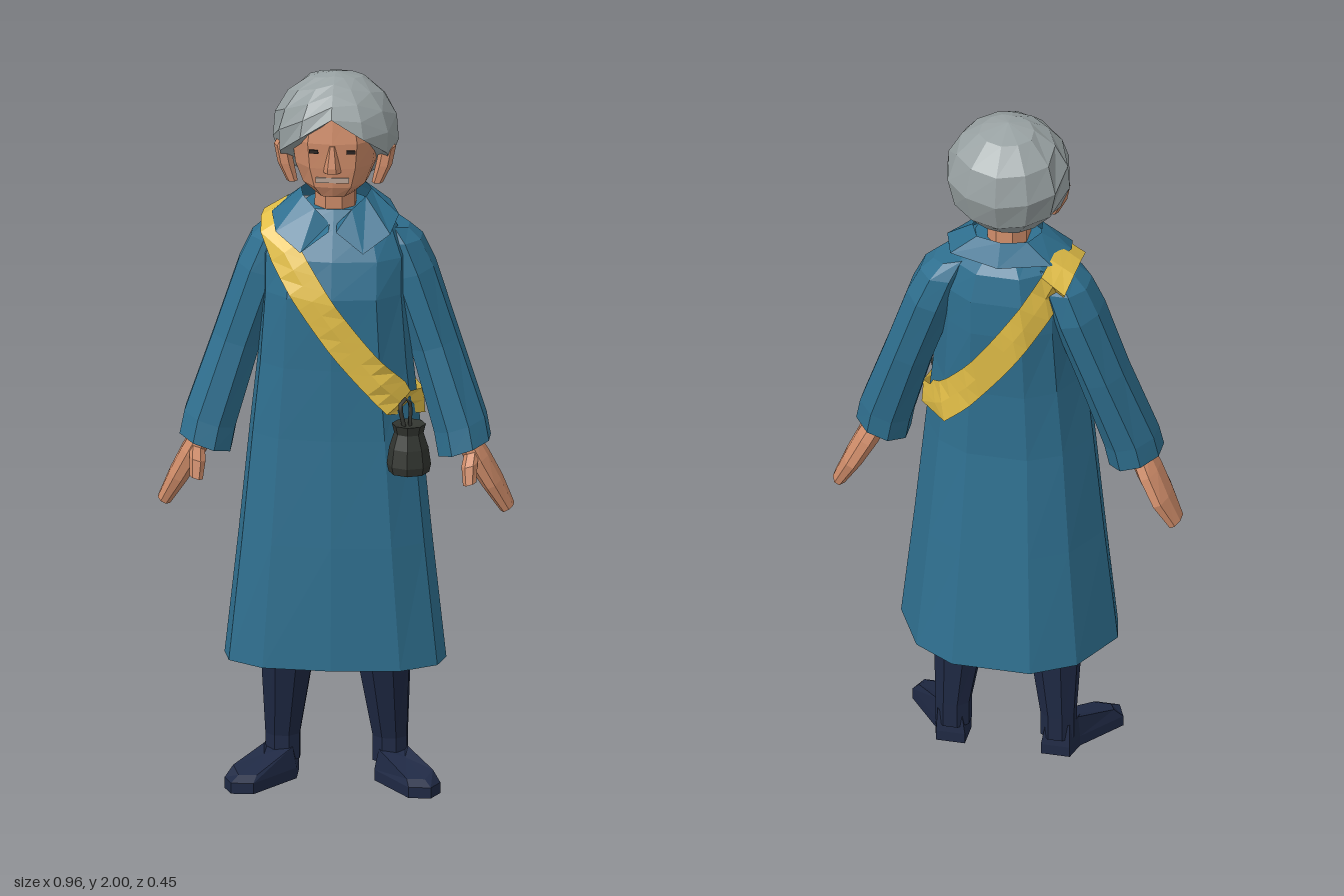
import * as THREE from 'three';

const mat = (name, color, side = THREE.FrontSide) => {
  const m = new THREE.MeshStandardMaterial({ color, side });
  m.name = name;
  return m;
};

// Faceted geometry from a list of triangles
function facets(tris) {
  const g = new THREE.BufferGeometry();
  g.setAttribute('position', new THREE.Float32BufferAttribute(tris.flat(2), 3));
  g.computeVertexNormals();
  return g;
}

// Skin over rings listed bottom to top, each running front -> +x -> back; s = -1 mirrors in x
function loft(rings, s = 1) {
  const R = rings.map(r => {
    const q = r.map(([x, y, z]) => [x * s, y, z]);
    return s < 0 ? q.reverse() : q;
  });
  const n = R[0].length, tris = [];
  for (let i = 0; i < R.length - 1; i++)
    for (let j = 0; j < n; j++) {
      const k = (j + 1) % n;
      tris.push([R[i][j], R[i][k], R[i + 1][k]], [R[i][j], R[i + 1][k], R[i + 1][j]]);
    }
  const centre = r => [0, 1, 2].map(c => r.reduce((t, p) => t + p[c], 0) / n);
  const lo = R[0], hi = R[R.length - 1], cl = centre(lo), ch = centre(hi);
  for (let j = 0; j < n; j++) {
    const k = (j + 1) % n;
    tris.push([cl, lo[k], lo[j]], [ch, hi[j], hi[k]]);
  }
  return facets(tris);
}

// Elliptical ring, tilted so its +x side rises
const oval = (cx, cy, cz, rx, rz, tilt = 0, n = 8) => Array.from({ length: n }, (_, i) => {
  const a = (i + 0.5) / n * Math.PI * 2, dx = rx * Math.sin(a);
  return [cx + dx, cy + tilt * dx, cz + rz * Math.cos(a)];
});

// Symmetric ring from a half outline of unit points
const shaped = (half, y, rx, zf, zb) => {
  const mirror = half.slice(1, -1).reverse().map(([u, v]) => [-u, v]);
  return [...half, ...mirror].map(([u, v]) => [u * rx, y, v > 0 ? v * zf : -v * zb]);
};

// Piecewise linear lookup in rows sorted by their first value
function lookup(rows, t) {
  let i = 0;
  while (i < rows.length - 2 && t > rows[i + 1][0]) i++;
  const a = rows[i], b = rows[i + 1];
  const f = THREE.MathUtils.clamp((t - a[0]) / (b[0] - a[0]), 0, 1);
  return a.map((v, c) => v + (b[c] - v) * f);
}

// Coat profile: height, half width, front z, back z
const coatRows = [
  [0.355, 0.30, 0.16, -0.225], [0.7, 0.262, 0.156, -0.188], [1.0, 0.232, 0.147, -0.155],
  [1.2, 0.21, 0.147, -0.153], [1.4, 0.195, 0.15, -0.165], [1.5, 0.195, 0.125, -0.162],
  [1.58, 0.165, 0.085, -0.145], [1.63, 0.095, 0.06, -0.105]];
const coatFront = [[0, 1], [0.62, 0.9], [0.94, 0.5], [1, 0]];
const coatBack = [[0, -1], [0.36, -1], [0.74, -0.69], [1, 0]];
const coatHalf = [...coatFront, ...coatBack.slice(0, -1).reverse()];

// Point lying just outside the coat
function onCoat(x, y, front) {
  const [, rx, zf, zb] = lookup(coatRows, y);
  const cx = THREE.MathUtils.clamp(x, -0.93 * rx, 0.93 * rx);
  const v = lookup(front ? coatFront : coatBack, Math.abs(cx) / rx)[1];
  return [cx * 1.04, y, front ? v * zf + 0.013 : -v * zb - 0.013];
}

// Faces between two lines of points
function band(a, b, closed) {
  const tris = [], n = a.length;
  for (let i = 0; i < (closed ? n : n - 1); i++) {
    const k = (i + 1) % n;
    tris.push([b[i], b[k], a[k]], [b[i], a[k], a[i]]);
  }
  return tris;
}

export function createModel() {
  const coat = mat('coat blue', 0x2f7090), coatOpen = mat('collar blue', 0x2f7090, THREE.DoubleSide);
  const skin = mat('skin', 0xd08d6a), hairGrey = mat('hair grey', 0x98a1a2);
  const navy = mat('trouser navy', 0x1f2944), yellow = mat('sash yellow', 0xe3bf48, THREE.DoubleSide);
  const dark = mat('pouch charcoal', 0x323530), eyeDark = mat('eye dark', 0x2a2422);
  const lip = mat('mouth pale', 0xb9a496);

  const model = new THREE.Group();
  model.name = 'figure';
  const add = (name, geometry, material, x = 0, y = 0, z = 0) => {
    const m = new THREE.Mesh(geometry, material);
    m.name = name;
    m.position.set(x, y, z);
    model.add(m);
    return m;
  };

  // Coat with a slightly recessed underside
  add('coat', loft([shaped(coatHalf, 0.372, 0.28, 0.147, -0.208),
    ...coatRows.map(([y, ...r]) => shaped(coatHalf, y, ...r))]), coat);

  // Folded collar, split at the front with two pointed flaps
  const rim = [[0.01, 1.595, 0.075], [0.05, 1.635, 0.07], [0.085, 1.66, 0.03],
    [0.095, 1.665, -0.03], [0.07, 1.668, -0.09], [0, 1.67, -0.11]];
  const edge = [[0.01, 1.582, 0.112], [0.085, 1.528, 0.132], [0.155, 1.572, 0.085],
    [0.172, 1.603, 0], [0.14, 1.612, -0.105], [0, 1.608, -0.145]];
  const around = half => [...half, ...half.slice(0, -1).reverse().map(([x, y, z]) => [-x, y, z])];
  add('collar', facets(band(around(rim), around(edge), false)), coatOpen);

  // Sash from the right shoulder to the left hip, front and back, as upper, middle and lower lines
  const run = front => Array.from({ length: 13 }, (_, i) => {
    const t = i / 12, x = -0.125 + 0.305 * t;
    const y = 1.52 - 0.415 * t - 0.025 * Math.sin(Math.PI * t);
    return [1, 0, -1].map(w => onCoat(x + 0.035 * w, y + 0.027 * w, front));
  });
  const across = (a, b) => [a, a.map((v, c) => (v + b[c]) / 2), b];
  const loop = [...run(true), across([0.238, 1.115, 0], [0.243, 1.045, 0]), ...run(false).reverse(),
    across([-0.12, 1.595, -0.14], [-0.185, 1.545, -0.142]),
    across([-0.135, 1.622, -0.09], [-0.2, 1.582, -0.09]),
    across([-0.14, 1.624, -0.02], [-0.203, 1.583, -0.02]),
    across([-0.135, 1.602, 0.05], [-0.198, 1.56, 0.055])];
  const line = i => loop.map(p => p[i]);
  add('sash', facets([...band(line(0), line(1), true), ...band(line(1), line(2), true)]), yellow);

  // Pouch hanging from the sash
  const profile = [[0, 0.93], [0.055, 0.93], [0.06, 0.952], [0.053, 1.0], [0.04, 1.04], [0.046, 1.065], [0, 1.055]];
  const bag = new THREE.LatheGeometry(profile.map(p => new THREE.Vector2(...p)), 8).toNonIndexed();
  bag.computeVertexNormals();
  add('pouch', bag, dark, 0.212, 0, 0.168);
  const cord = new THREE.CatmullRomCurve3([[0.20, 1.05, 0.17], [0.19, 1.12, 0.165], [0.21, 1.13, 0.15], [0.215, 1.05, 0.16]]
    .map(p => new THREE.Vector3(...p)));
  add('pouchCord', new THREE.TubeGeometry(cord, 8, 0.006, 4), dark);

  // Paired limbs
  const sole = [[0.21, 0.152], [0.27, 0.152], [0.292, 0.10], [0.2, -0.02], [0.185, -0.08], [0.105, -0.08], [0.105, 0.0]];
  for (const [side, s] of [['left', 1], ['right', -1]]) {
    add(side + 'Sleeve', loft([
      oval(0.34, 0.985, 0.01, 0.05, 0.065, 0.35),
      oval(0.35, 0.957, 0.008, 0.074, 0.085, 0.35), oval(0.338, 1.02, 0, 0.074, 0.083, 0.33),
      oval(0.268, 1.24, -0.03, 0.068, 0.09, 0.3), oval(0.2, 1.44, -0.043, 0.07, 0.102, 0.25),
      oval(0.165, 1.53, -0.043, 0.07, 0.092, 0), oval(0.135, 1.58, -0.04, 0.066, 0.068, -0.3)], s), coat);
    add(side + 'Hand', loft([
      oval(0.464, 0.778, -0.018, 0.018, 0.044, 0.5), oval(0.425, 0.85, -0.014, 0.026, 0.066, 0.5),
      oval(0.387, 0.92, 0, 0.03, 0.062, 0.5), oval(0.355, 0.98, 0.01, 0.03, 0.045, 0.4)], s), skin);
    add(side + 'Thumb', loft([
      oval(0.37, 0.872, 0.088, 0.018, 0.016, 0.3, 6), oval(0.368, 0.92, 0.066, 0.022, 0.028, 0.3, 6),
      oval(0.372, 0.955, 0.02, 0.02, 0.03, 0.3, 6)], s), skin);
    add(side + 'Leg', loft([
      oval(0.145, 0.05, -0.04, 0.05, 0.047), oval(0.145, 0.12, -0.04, 0.05, 0.047),
      oval(0.13, 0.35, -0.015, 0.076, 0.077), oval(0.13, 0.45, -0.01, 0.078, 0.08)], s), navy);
    add(side + 'Shoe', loft([
      sole.map(([x, z]) => [x, 0, z]), sole.map(([x, z]) => [x, 0.03, z]),
      sole.map(([x, z]) => [0.17 + (x - 0.17) * 0.82, 0.095 - Math.max(0, z + 0.03) * 0.27, z * 0.85 - 0.003])], s), navy);

    // Ears and eyes
    add(side + 'Ear', loft([
      oval(0.115, 1.70, 0.025, 0.015, 0.015, 0, 6), oval(0.133, 1.75, 0.02, 0.022, 0.026, 0, 6),
      oval(0.143, 1.80, 0.015, 0.022, 0.03, 0, 6), oval(0.13, 1.835, 0.015, 0.015, 0.02, 0, 6)], s), skin);
    add(side + 'Eye', new THREE.BoxGeometry(0.024, 0.01, 0.008), eyeDark, s * 0.05, 1.808, 0.107).rotation.y = s * 0.15;
  }

  // Neck, head and nose
  add('neck', loft([oval(0, 1.55, -0.01, 0.06, 0.065), oval(0, 1.72, 0, 0.058, 0.065)]), skin);
  const headHalf = [[0, 1], [0.55, 0.93], [0.93, 0.45], [1, -0.1], [0.7, -0.8], [0, -1]];
  add('head', loft([[1.675, 0.055, 0.09, -0.05], [1.705, 0.09, 0.104, -0.08], [1.76, 0.112, 0.11, -0.1],
    [1.83, 0.122, 0.113, -0.11], [1.92, 0.1, 0.1, -0.1]].map(r => shaped(headHalf, ...r))), skin);
  add('nose', loft([oval(0, 1.75, 0.107, 0.024, 0.022, 0, 6), oval(0, 1.765, 0.107, 0.022, 0.024, 0, 6),
    oval(0, 1.825, 0.107, 0.01, 0.01, 0, 6)]), skin);
  add('mouth', new THREE.BoxGeometry(0.09, 0.014, 0.008), lip, 0, 1.727, 0.104);

  // Hair: a cap whose lower edge parts over the forehead and drops at the nape
  const hairline = [[0, 1.908], [0.5, 1.855], [1.0, 1.80], [1.4, 1.775], [1.85, 1.70], [Math.PI, 1.685]];
  const cy = 1.835, r = 0.165, cols = 12, rows = 5;
  const hairRing = (t, shrink = 1) => Array.from({ length: cols }, (_, i) => {
    const a = i / cols * Math.PI * 2;
    const low = Math.asin((lookup(hairline, Math.min(a, Math.PI * 2 - a))[1] - cy) / r);
    const lat = low + (Math.PI / 2 - low) * t, c = Math.cos(lat) * shrink, front = Math.cos(a);
    return [0.172 * c * Math.sin(a), cy + r * Math.sin(lat), -0.014 + (front > 0 ? 0.174 : 0.164) * c * front];
  });
  const hairRings = [hairRing(0, 0.6)];
  for (let i = 0; i < rows; i++) hairRings.push(hairRing(i / rows));
  hairRings.push(hairRing(0.999));
  add('hair', loft(hairRings), hairGrey);

  return model;
}
